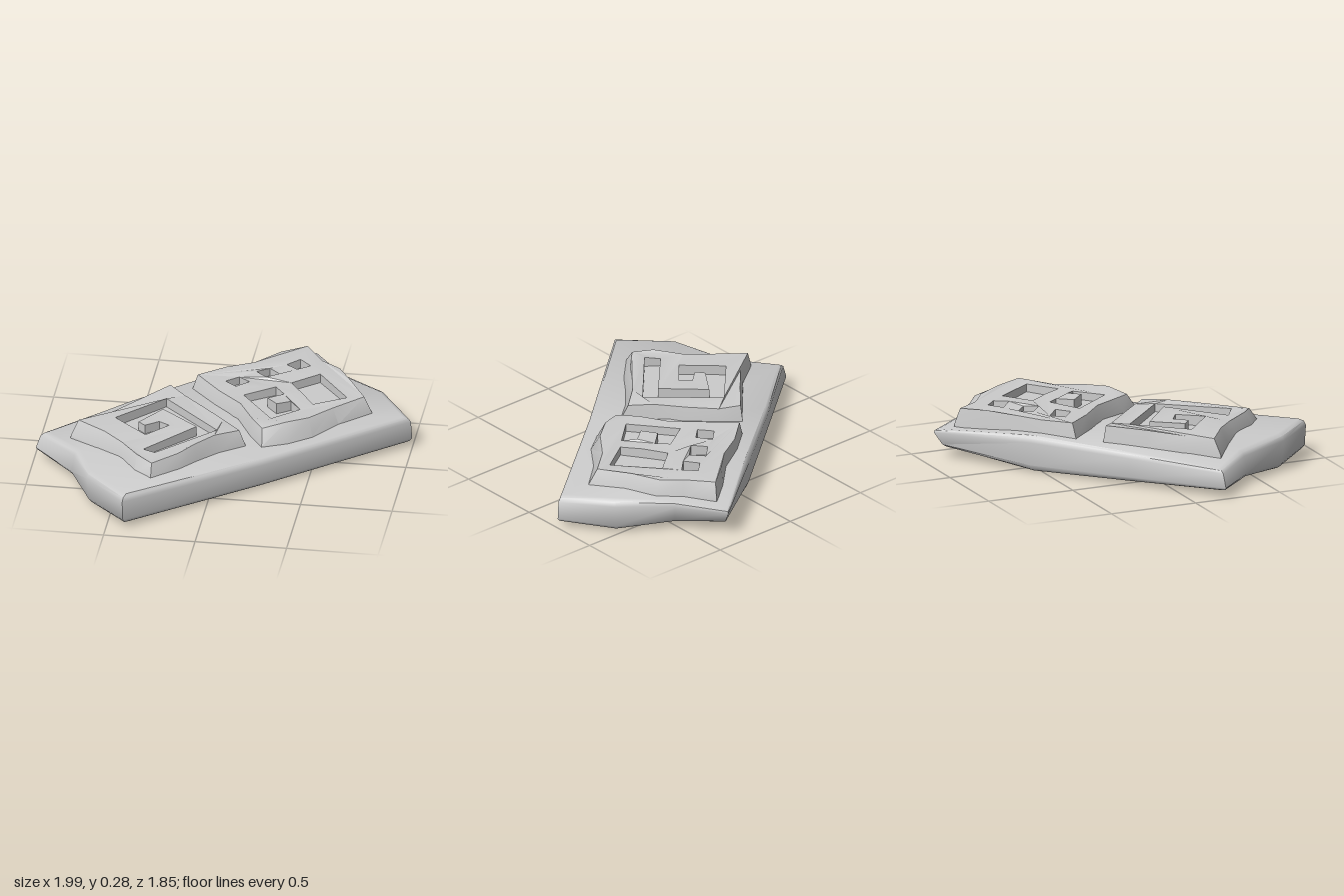
import * as THREE from 'three';
import { toCreasedNormals } from 'three/addons/utils/BufferGeometryUtils.js';

const V = (x, y, z) => new THREE.Vector3(x, y, z);
const flat = ring => ring.map(p => new THREE.Vector2(p.x, p.z));

// Triangle collector; skips collapsed triangles
function addTri(out, a, b, c) {
  const n = b.clone().sub(a).cross(c.clone().sub(a));
  if (n.length() > 1e-8) out.push(a, b, c);
}

// Skin between successive rings of equal point count
function loft(out, rings) {
  for (let r = 0; r + 1 < rings.length; r++) {
    const a = rings[r], b = rings[r + 1], n = a.length;
    for (let i = 0; i < n; i++) {
      const j = (i + 1) % n;
      addTri(out, a[i], a[j], b[j]);
      addTri(out, a[i], b[j], b[i]);
    }
  }
}

// Upward-facing cap with holes
function cap(out, ring, holes = []) {
  const all = [ring, ...holes].flat();
  for (const [i, j, k] of THREE.ShapeUtils.triangulateShape(flat(ring), holes.map(flat))) {
    const [a, b, c] = [all[i], all[j], all[k]];
    const up = (b.z - a.z) * (c.x - a.x) - (b.x - a.x) * (c.z - a.z) > 0;
    up ? addTri(out, a, b, c) : addTri(out, a, c, b);
  }
}

function makeMesh(name, tris, crease) {
  const geo = toCreasedNormals(new THREE.BufferGeometry().setFromPoints(tris), crease);
  const mesh = new THREE.Mesh(geo, new THREE.MeshStandardMaterial({ color: 0xcccccc }));
  mesh.name = name;
  return mesh;
}

// All rings run the same way round
function orient(pts) {
  const v = pts.map(p => new THREE.Vector2(p[0], p[1]));
  return THREE.ShapeUtils.isClockWise(v) ? pts : [...pts].reverse();
}

// Gentle unevenness of the carved face
const faceHeight = (x, z) => 0.275 + 0.011 * Math.sin(19 * x + 5 * z) * Math.cos(17 * z - 4 * x);

// Worn slab: x, z, top height, bottom height, top scale, bottom scale
function makeSlab() {
  const outline = orient([
    [-1, 0.185, 0.155, 0.04, 0.96, 1], [-0.55, -0.19, 0.185, 0.02, 1, 0.98],
    [-0.085, -0.57, 0.205, 0.005, 1, 0.98], [0.38, -0.935, 0.165, 0.06, 1, 0.93],
    [0.555, -0.69, 0.18, 0.035, 1, 0.95], [0.81, -0.49, 0.2, 0.012, 1, 0.99],
    [1, -0.235, 0.185, 0.03, 0.99, 1], [0.27, 0.355, 0.175, 0.015, 1, 1],
    [-0.41, 0.93, 0.205, 0.03, 1, 0.99], [-0.64, 0.695, 0.21, 0.01, 1, 0.98],
    [-0.77, 0.415, 0.178, 0.03, 0.97, 1],
  ]);
  const ring = (scale, t) => outline.map(([x, z, top, bot, st, sb]) => {
    const s = scale * (sb + (st - sb) * t);
    return V(x * s, bot + (top - bot) * t, z * s);
  });
  const centre = y => outline.map(() => V(0.03, y, -0.04));
  const tris = [];
  loft(tris, [centre(0), ring(0.96, 0), ring(0.985, 0.05), ring(1, 0.16),
    ring(1, 0.8), ring(0.988, 0.93), ring(0.96, 1), centre(0.192)]);
  return makeMesh('slab', tris, 0.75);
}

// Raised panel with sloping chipped sides and sunken carvings
function makePanel(name, outline, carvings, centre, shift) {
  const pts = orient(outline);
  const ring = (scale, height, k) => pts.map(([x, z], i) => {
    const px = centre[0] + (x - centre[0]) * scale + shift[0] * k;
    const pz = centre[1] + (z - centre[1]) * scale + shift[1] * k;
    return V(px, height ?? faceHeight(px, pz) - (i % 3 === 1 ? 0.012 : 0), pz);
  });
  const top = ring(0.915, null, 1);
  const tris = [];
  loft(tris, [ring(1, 0.16, 0), ring(0.995, 0.185, 0), top]);
  const holes = carvings.map(c => orient(c).map(([x, z]) => V(x, faceHeight(x, z), z)));
  cap(tris, top, holes);
  for (const hole of holes) {
    const floor = hole.map(p => V(p.x, 0.222, p.z));
    loft(tris, [hole, floor]);
    cap(tris, floor);
  }
  return makeMesh(name, tris, 0.5);
}

export function createModel() {
  const group = new THREE.Group();
  group.name = 'carvedTablet';
  group.add(makeSlab());

  // Panel with the square spiral groove
  const spiral = [
    [-0.56, 0.18], [-0.32, -0.08], [0, 0.22], [-0.29, 0.54], [-0.36, 0.49], [-0.11, 0.22],
    [-0.32, 0.04], [-0.43, 0.2], [-0.39, 0.24], [-0.32, 0.18], [-0.26, 0.22], [-0.37, 0.35],
  ];
  group.add(makePanel('spiralPanel', [
    [-0.32, -0.24], [-0.22, -0.16], [-0.09, -0.03], [0.05, 0.12], [0.16, 0.22],
    [0.03, 0.33], [-0.07, 0.45], [-0.15, 0.56], [-0.29, 0.705], [-0.39, 0.63],
    [-0.5, 0.48], [-0.62, 0.37], [-0.795, 0.245], [-0.64, 0.13], [-0.48, -0.05],
  ], [spiral], [-0.31, 0.23], [0, -0.02]));

  // Panel with three small pits, a block and a hook
  const pits = [[0.03, -0.33], [0.18, -0.45], [0.33, -0.56]].map(([x, z]) =>
    [[x, z - 0.062], [x + 0.065, z], [x, z + 0.062], [x - 0.065, z]]);
  const block = [[0.32, -0.36], [0.46, -0.475], [0.64, -0.25], [0.47, -0.14], [0.4, -0.24]];
  const hook = [
    [0.085, -0.19], [0.245, -0.295], [0.3, -0.23], [0.22, -0.16],
    [0.28, -0.09], [0.35, -0.14], [0.41, -0.08], [0.27, 0.045],
  ];
  group.add(makePanel('pitPanel', [
    [0.36, -0.81], [0.47, -0.66], [0.59, -0.57], [0.68, -0.41], [0.785, -0.235],
    [0.62, -0.09], [0.5, 0.07], [0.38, 0.16], [0.245, 0.22], [0.165, 0.11],
    [0.075, -0.05], [-0.075, -0.19], [-0.225, -0.35], [-0.075, -0.48], [0.085, -0.57],
    [0.22, -0.7],
  ], [...pits, block, hook], [0.29, -0.29], [-0.01, -0.015]));

  return group;
}
